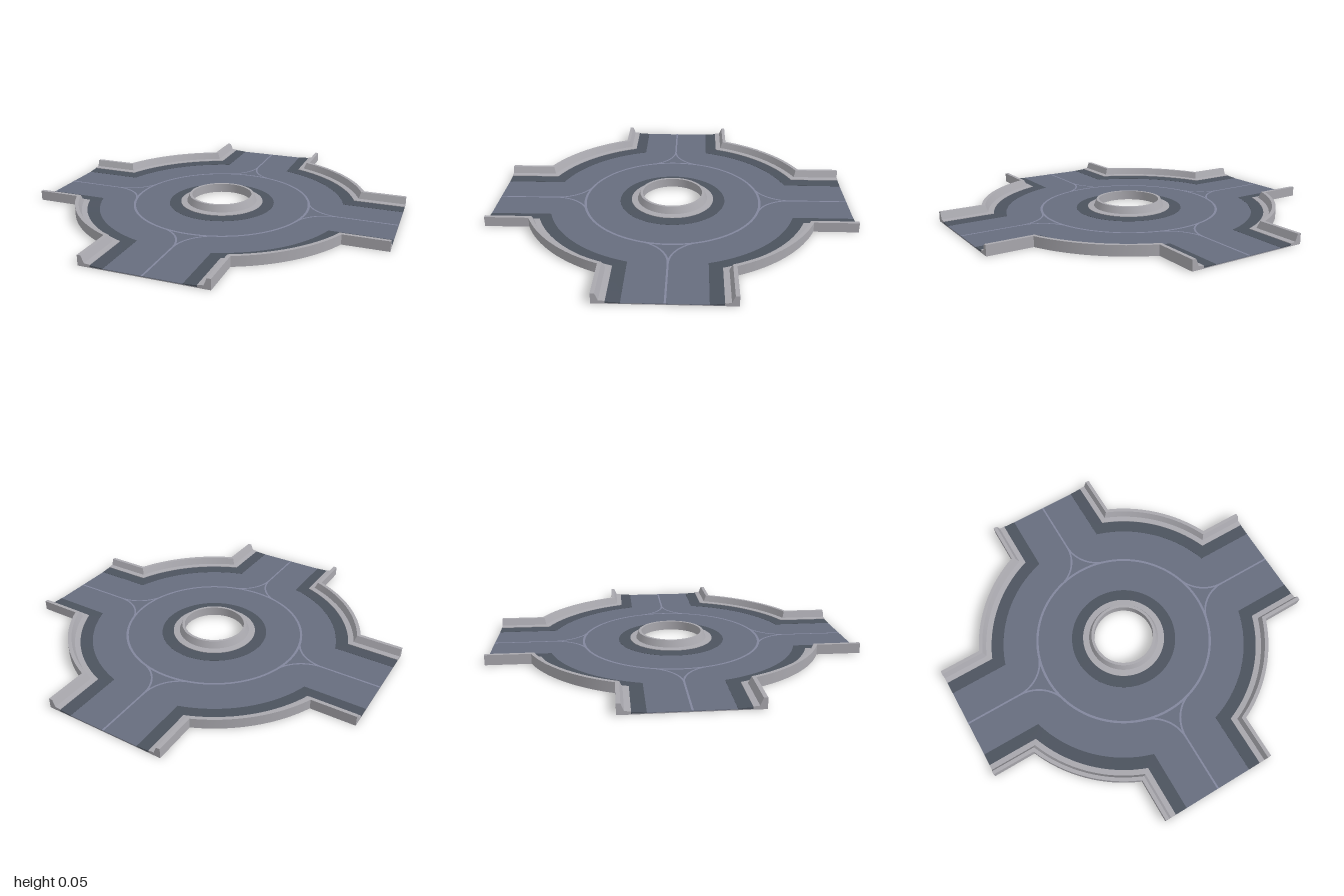
import * as THREE from 'three';
import { toCreasedNormals } from 'three/addons/utils/BufferGeometryUtils.js';

const HALF = 0.333, RADIUS = 0.83, BASE = 0.004, ROAD = 0.007, ARC_STEPS = 16, SEGS = 64;

const paint = (color, extra = {}) => new THREE.MeshStandardMaterial({ color, roughness: 0.9, ...extra });

// Edge of one quadrant, moved inward by d: along an arm, round the arc, out the next arm.
function quadrantPath(d) {
  const w = HALF - d, r = RADIUS - d, a = Math.asin(w / r);
  const pts = [[w, 1]];
  for (let i = 0; i <= ARC_STEPS; i++) {
    const t = a + (Math.PI / 2 - 2 * a) * i / ARC_STEPS;
    pts.push([r * Math.sin(t), r * Math.cos(t)]);
  }
  pts.push([1, w]);
  return pts;
}

// Flat slab in the crossing's outline with a round hole.
function slab(d, hole, y0, y1) {
  const pts = [];
  let q = quadrantPath(d);
  for (let k = 0; k < 4; k++) {
    q.forEach(([x, y]) => pts.push(new THREE.Vector2(x, y)));
    q = q.map(([x, y]) => [y, -x]);
  }
  const shape = new THREE.Shape(pts);
  shape.holes.push(new THREE.Path().absarc(0, 0, hole, 0, Math.PI * 2, true));
  const geo = new THREE.ExtrudeGeometry(shape, { depth: y1 - y0, bevelEnabled: false, curveSegments: SEGS / 2 });
  return geo.rotateX(-Math.PI / 2).translate(0, y0, 0);
}

// Sweep a closed [inset, height] profile along a quadrant edge, with end caps.
function sweep(profile) {
  const rows = profile.map(([d, y]) => quadrantPath(d).map(([x, z]) => [x, y, z]));
  const n = profile.length, last = rows[0].length - 1, pos = [];
  const tri = (a, b, c) => pos.push(...a, ...b, ...c);
  for (let j = 0; j < n; j++) {
    const A = rows[j], B = rows[(j + 1) % n];
    for (let i = 0; i < last; i++) {
      tri(A[i], A[i + 1], B[i + 1]);
      tri(A[i], B[i + 1], B[i]);
    }
  }
  for (let j = 1; j < n - 1; j++) {
    tri(rows[0][0], rows[j][0], rows[j + 1][0]);
    tri(rows[0][last], rows[j + 1][last], rows[j][last]);
  }
  const geo = new THREE.BufferGeometry();
  geo.setAttribute('position', new THREE.Float32BufferAttribute(pos, 3));
  geo.computeVertexNormals();
  return toCreasedNormals(geo, 0.4);
}

const lathe = (profile) => toCreasedNormals(
  new THREE.LatheGeometry(profile.map(([r, y]) => new THREE.Vector2(r, y)), SEGS), 0.3);

export function createModel() {
  const root = new THREE.Group();
  root.name = 'roundabout';
  const concrete = paint(0xa9a8ae), asphalt = paint(0x676d7e), dark = paint(0x4c535e);
  const line = paint(0x82879d, { side: THREE.DoubleSide });
  const add = (parent, name, geo, mat) => {
    const m = new THREE.Mesh(geo, mat);
    m.name = name;
    parent.add(m);
    return m;
  };

  add(root, 'basePlate', slab(0, 0.17, 0, BASE), concrete);
  add(root, 'roadSurface', slab(0.133, 0.295, BASE, ROAD), asphalt);

  // Central island: ring wall with kerb, and its dark shoulder
  add(root, 'islandWall', lathe([[0.235, BASE], [0.235, 0.015], [0.2, 0.018], [0.185, 0.055],
    [0.17, 0.055], [0.17, BASE]]), concrete);
  add(root, 'islandShoulder', lathe([[0.3, BASE], [0.3, 0.008], [0.235, 0.012]]), dark);

  // Outer barrier and shoulder, one piece per corner
  const barrier = sweep([[0, BASE], [0, 0.055], [0.02, 0.055], [0.035, 0.018], [0.065, 0.015], [0.065, BASE]]);
  const shoulder = sweep([[0.065, BASE], [0.065, 0.012], [0.133, 0.008], [0.133, BASE]]);

  // Lane markings: ring, arm centre lines and the curves that join them
  const flat = (geo) => geo.rotateX(-Math.PI / 2).translate(0, ROAD + 0.001, 0);
  add(root, 'ringLine', flat(new THREE.RingGeometry(0.494, 0.507, 96)), line);
  const d = 0.68, r = d * d - 0.25, sweepAngle = Math.atan2(d, r);
  const curve = (x, start) => flat(
    new THREE.RingGeometry(r - 0.005, r + 0.005, 20, 1, start, sweepAngle).translate(x, d, 0));
  const centre = flat(new THREE.PlaneGeometry(0.01, 1 - d).translate(0, (1 + d) / 2, 0));
  const curveA = curve(r, Math.PI), curveB = curve(-r, -sweepAngle);

  for (let k = 0; k < 4; k++) {
    const quarter = new THREE.Group();
    quarter.name = `quarter${k + 1}`;
    quarter.rotation.y = k * Math.PI / 2;
    add(quarter, 'barrier', barrier, concrete);
    add(quarter, 'shoulder', shoulder, dark);
    add(quarter, 'centreLine', centre, line);
    add(quarter, 'curveLineRight', curveA, line);
    add(quarter, 'curveLineLeft', curveB, line);
    root.add(quarter);
  }
  return root;
}
